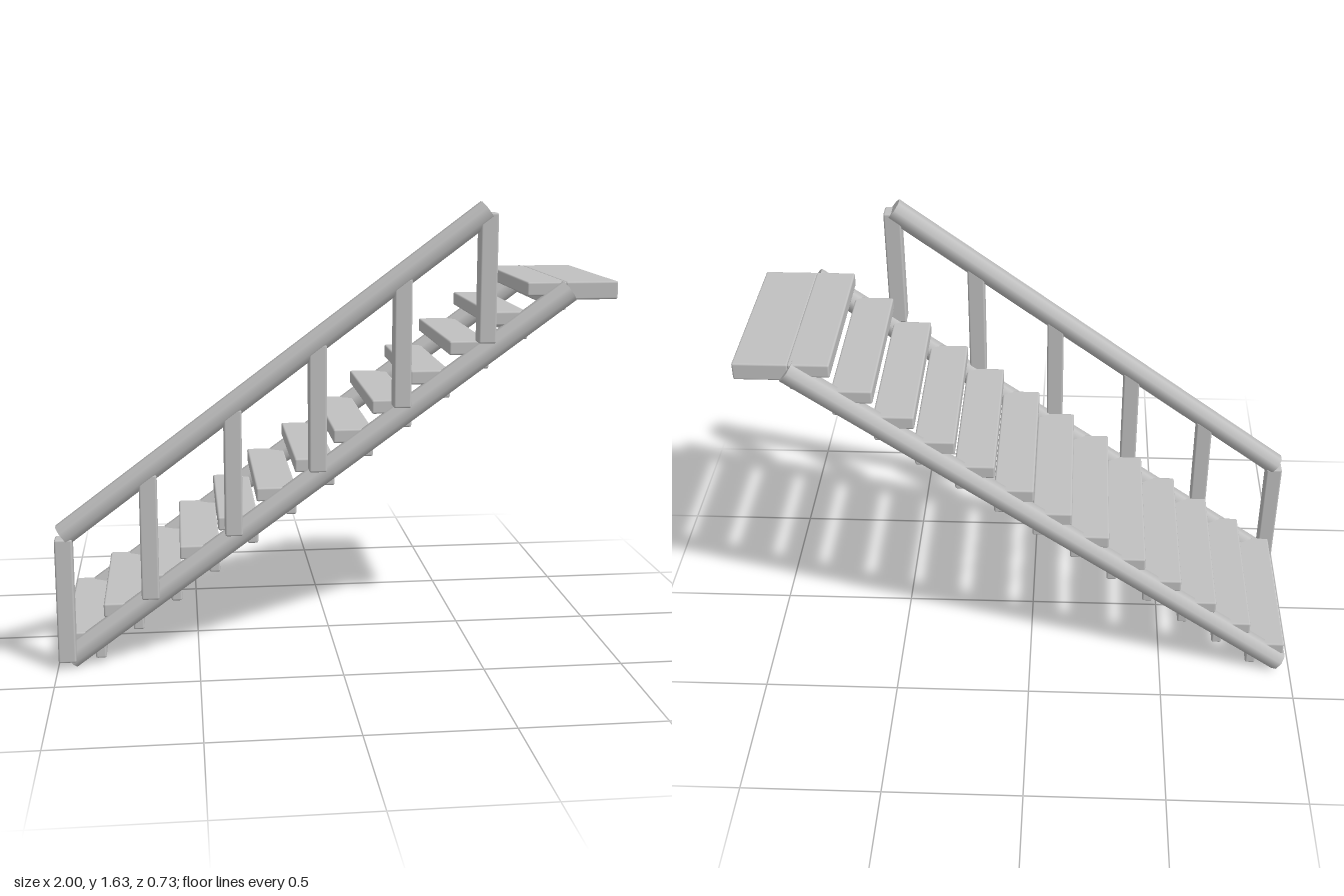
import * as THREE from 'three';
import { RoundedBoxGeometry } from 'three/addons/geometries/RoundedBoxGeometry.js';

export function createModel() {
  const model = new THREE.Group();
  model.name = 'staircase';
  const grey = new THREE.MeshStandardMaterial({ color: 0xc0c0c0 });
  grey.name = 'light grey';

  // Softly edged board given by its minimum and maximum corners
  function board(name, min, max, parent = model) {
    const size = max.map((v, i) => v - min[i]);
    const mesh = new THREE.Mesh(new RoundedBoxGeometry(...size, 2, 0.007), grey);
    mesh.position.set(...max.map((v, i) => (v + min[i]) / 2));
    mesh.name = name;
    parent.add(mesh);
  }

  // Sloping eight-sided bar with a flat side up, between two points at depth z
  function bar(name, x0, y0, x1, y1, z) {
    const dx = x1 - x0, dy = y1 - y0;
    const radius = 0.039 / Math.cos(Math.PI / 8);
    const geometry = new THREE.CylinderGeometry(radius, radius, Math.hypot(dx, dy), 8);
    geometry.rotateY(Math.PI / 8);
    const mesh = new THREE.Mesh(geometry, grey);
    mesh.position.set((x0 + x1) / 2, (y0 + y1) / 2, z);
    mesh.rotation.z = Math.atan2(dy, dx) - Math.PI / 2;
    mesh.name = name;
    model.add(mesh);
  }

  const zBack = -0.337, zFront = 0.296;

  // Steps: a tread with a narrow lip under its rear edge
  for (let i = 0; i < 13; i++) {
    const x = -0.973 + i * 0.137, top = 0.122 + i * 0.1025;
    const step = new THREE.Group();
    step.name = 'step' + (i + 1);
    board('tread', [x, top - 0.05, zBack], [x + 0.142, top, zFront], step);
    board('rearLip', [x + 0.104, top - 0.1, zBack], [x + 0.142, top - 0.045, zFront], step);
    model.add(step);
  }

  // Landing board at the top
  board('landing', [0.81, 1.288, zBack], [1.0, 1.352, zFront]);

  // Sloping beams that carry the steps
  bar('frontStringer', -0.957, 0.034, 0.82, 1.322, 0.303);
  bar('backStringer', -0.957, 0.034, 0.82, 1.322, -0.327);

  // Handrail on the front side with its posts
  bar('handrail', -0.968, 0.492, 0.518, 1.603, 0.321);
  for (let i = 0; i < 6; i++) {
    const x = -0.965 + i * 0.297, y = 0.03 + i * 0.223;
    board('railPost' + (i + 1), [x - 0.031, y, 0.29], [x + 0.031, y + 0.452, 0.354]);
  }
  return model;
}
